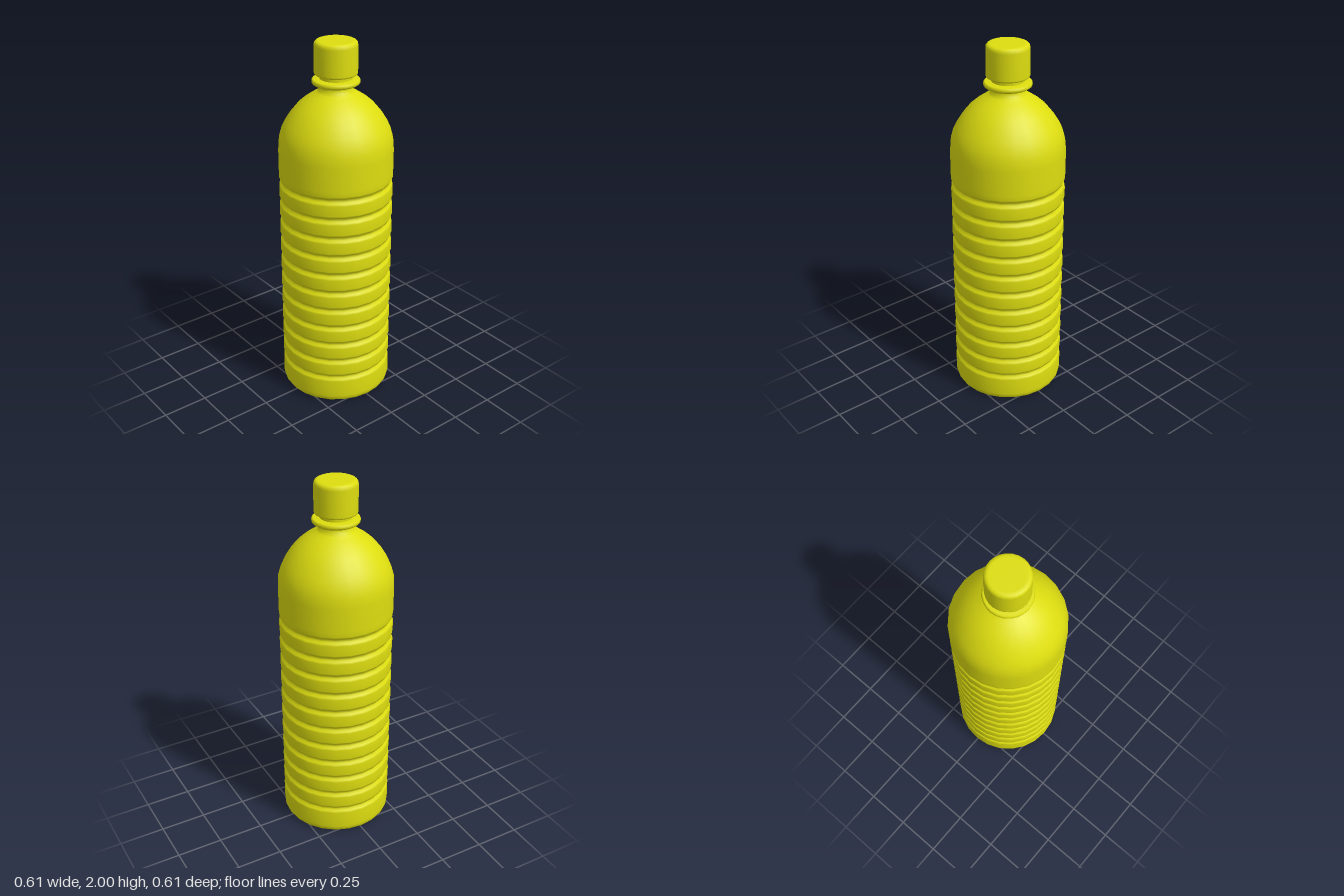
import * as THREE from 'three';

const SIDES = 24;
const R = 0.304;

export function createModel() {
  const bottle = new THREE.Group();
  bottle.name = 'bottle';
  const yellow = new THREE.MeshStandardMaterial({ color: 0xdddd10, side: THREE.DoubleSide });
  yellow.name = 'yellow plastic';

  // Revolve a list of [radius, height] points around the bottle axis
  const turn = (name, profile) => {
    const points = profile.map(([r, y]) => new THREE.Vector2(r, y));
    const mesh = new THREE.Mesh(new THREE.LatheGeometry(points, SIDES), yellow);
    mesh.name = name;
    bottle.add(mesh);
  };

  // Hollowed underside with a rounded foot
  turn('base', [
    [0, 0.05], [0.06, 0.047], [0.13, 0.037], [0.19, 0.02], [0.23, 0.006],
    [0.255, 0], [0.275, 0.002], [0.292, 0.01], [0.301, 0.024], [R, 0.042], [R, 0.08],
  ]);

  // Straight wall with eleven evenly spaced grooves
  const wall = [[R, 0.08]];
  for (let i = 0; i < 11; i++) {
    const y = 0.165 + i * 0.1083;
    wall.push([R, y - 0.026], [0.3, y - 0.015], [0.289, y - 0.007],
      [0.289, y + 0.007], [0.3, y + 0.015], [R, y + 0.026]);
  }
  wall.push([R, 1.3]);
  turn('ribbedBody', wall);

  // Domed shoulder
  turn('shoulder', [
    [R, 1.3], [R, 1.43], [0.3, 1.485], [0.287, 1.53], [0.268, 1.57], [0.24, 1.615],
    [0.205, 1.658], [0.165, 1.693], [0.125, 1.72], [0.1, 1.733], [0.088, 1.745], [0.085, 1.76],
  ]);

  turn('neck', [[0.085, 1.76], [0.085, 1.84]]);

  // Rounded collar under the cap
  turn('neckRing', [
    [0.084, 1.776], [0.118, 1.777], [0.124, 1.782], [0.126, 1.79],
    [0.124, 1.799], [0.118, 1.804], [0.084, 1.805],
  ]);

  // Screw cap with softened edges
  turn('cap', [
    [0.08, 1.827], [0.107, 1.827], [0.112, 1.831], [0.113, 1.838], [0.113, 1.975],
    [0.111, 1.988], [0.105, 1.996], [0.096, 2], [0.085, 2], [0, 2],
  ]);

  return bottle;
}
